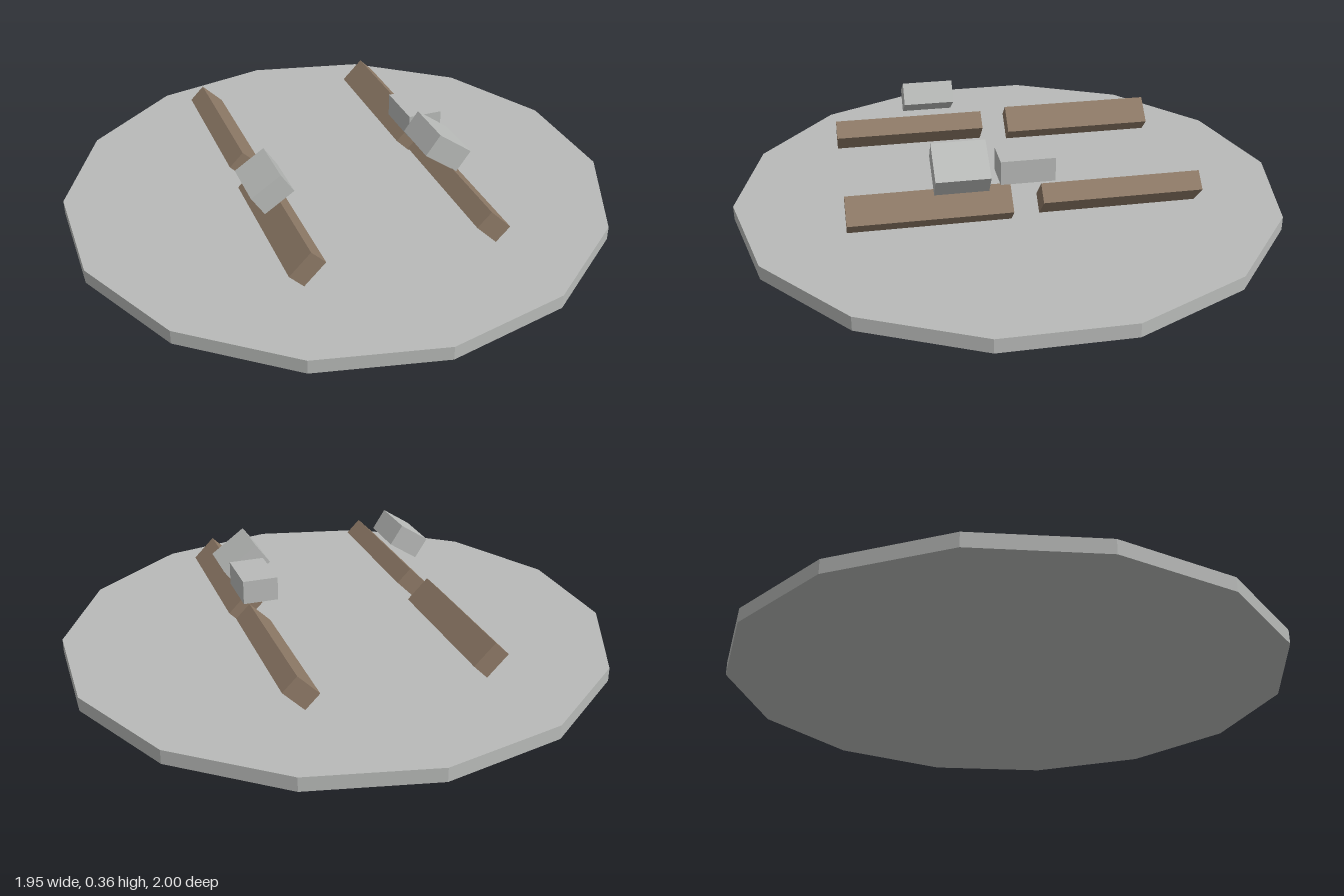
import * as THREE from 'three';

export function createModel() {
  const model = new THREE.Group();
  const stone = new THREE.MeshStandardMaterial({ color: 0xb8bab8 });
  stone.name = 'pale grey';
  const wood = new THREE.MeshStandardMaterial({ color: 0x8d7966 });
  wood.name = 'brown';

  const add = (name, geometry, material, x, y, z, tilt = 0) => {
    const mesh = new THREE.Mesh(geometry, material);
    mesh.name = name;
    mesh.position.set(x, y, z);
    mesh.rotation.z = THREE.MathUtils.degToRad(tilt);
    model.add(mesh);
  };

  // Fourteen-sided base slab, with flat facets
  const slab = new THREE.CylinderGeometry(1, 1, 0.05, 14).toNonIndexed();
  slab.computeVertexNormals();
  add('baseSlab', slab, stone, 0, 0.025, 0);

  // Four beams, leaning alternately left and right
  const beam = new THREE.BoxGeometry(0.106, 0.071, 0.56);
  for (const sx of [-1, 1]) {
    for (const sz of [-1, 1]) {
      const name = (sz > 0 ? 'front' : 'back') + (sx > 0 ? 'Left' : 'Right') + 'Beam';
      add(name, beam, wood, sx * 0.329, 0.153, sz * 0.331, -45 * sx * sz);
    }
  }

  // Loose blocks above the beams
  const block = new THREE.BoxGeometry(0.124, 0.084, 0.187);
  add('rightBlock', block, stone, -0.355, 0.28, 0.255, 33);
  add('leftLevelBlock', block, stone, 0.31, 0.28, 0);
  add('leftTiltedBlock', new THREE.BoxGeometry(0.15, 0.088, 0.187), stone, 0.299, 0.28, 0.22, -36);

  return model;
}
